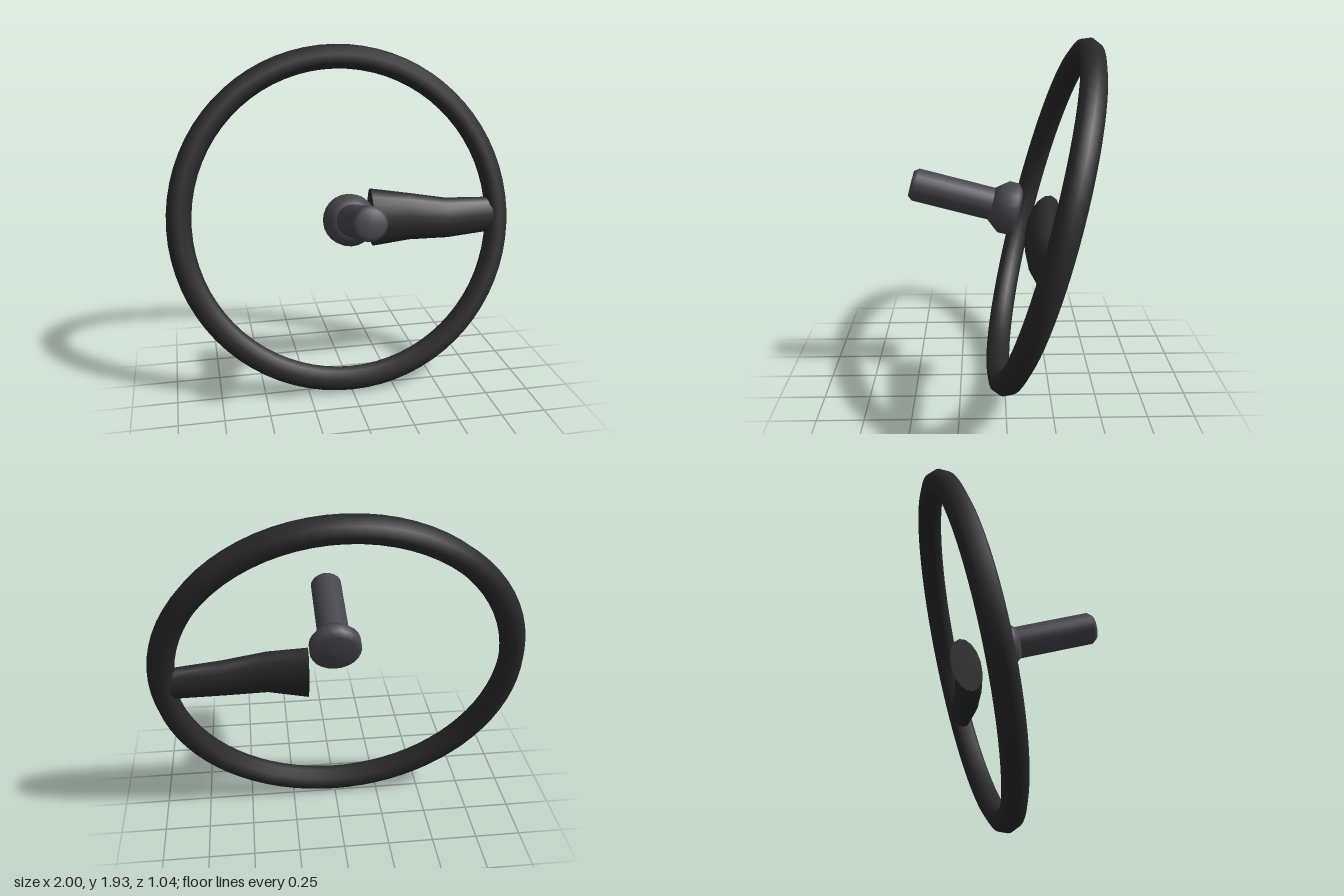
import * as THREE from 'three';

const V2 = (r, y) => new THREE.Vector2(r, y);

// Turned part whose axis runs along z; points are [radius, position along axis]
function turned(points, name, material) {
  const geo = new THREE.LatheGeometry(points.map(([r, n]) => V2(r, n)), 24);
  geo.rotateX(Math.PI / 2);
  const mesh = new THREE.Mesh(geo, material);
  mesh.name = name;
  return mesh;
}

// Loft of elliptical sections along x: [x, centre y, centre z, half height, half depth]
function loft(sections, sides) {
  const pos = [], index = [];
  for (const [x, cy, cz, a, b] of sections) {
    for (let j = 0; j < sides; j++) {
      const t = (j / sides) * Math.PI * 2;
      pos.push(x, cy + a * Math.cos(t), cz + b * Math.sin(t));
    }
  }
  for (let i = 0; i < sections.length - 1; i++) {
    for (let j = 0; j < sides; j++) {
      const k = (j + 1) % sides;
      const a = i * sides + j, b = i * sides + k;
      index.push(a, b, a + sides, b, b + sides, a + sides);
    }
  }
  const geo = new THREE.BufferGeometry();
  geo.setAttribute('position', new THREE.Float32BufferAttribute(pos, 3));
  geo.setIndex(index);
  geo.computeVertexNormals();
  return geo;
}

export function createModel() {
  const grip = new THREE.MeshStandardMaterial({ color: 0x2a2a2a });
  grip.name = 'dark grip';
  const metal = new THREE.MeshStandardMaterial({ color: 0x47464c });
  metal.name = 'grey metal';

  // Everything shares the steering axis, leaned back by 15 degrees
  const wheel = new THREE.Group();
  wheel.name = 'steeringWheel';
  wheel.rotation.x = -Math.PI / 12;
  wheel.position.set(0, 0.968, -0.205);

  // Rim
  const rim = new THREE.Mesh(new THREE.TorusGeometry(0.93, 0.07, 8, 72), grip);
  rim.name = 'rim';
  wheel.add(rim);

  // Single spoke, wide at the hub side and running into the rim
  const sections = [
    [0.165, 0, 0.003, 0.167, 0.086],
    [0.38, -0.006, 0.03, 0.136, 0.075],
    [0.61, -0.028, 0.026, 0.117, 0.068],
    [0.88, -0.023, 0.002, 0.102, 0.057],
    [0.94, -0.023, 0, 0.098, 0.05],
  ];
  const spoke = new THREE.Group();
  spoke.name = 'spoke';
  const body = new THREE.Mesh(loft(sections, 16), grip);
  body.name = 'spokeBody';
  const [x, cy, cz, a, b] = sections[0];
  const capGeo = new THREE.CircleGeometry(1, 16);
  capGeo.scale(b, a, 1).rotateY(-Math.PI / 2).translate(x, cy, cz);
  const cap = new THREE.Mesh(capGeo, grip);
  cap.name = 'spokeEnd';
  spoke.add(body, cap);
  wheel.add(spoke);

  // Hub boss and steering column
  wheel.add(turned([[0, 0.13], [0.115, 0.135], [0.145, 0.16], [0.145, 0.215],
    [0.118, 0.25], [0.09, 0.285], [0, 0.285]], 'hub', metal));
  wheel.add(turned([[0.09, 0.24], [0.09, 0.712], [0.07, 0.738], [0, 0.738]], 'column', metal));

  const model = new THREE.Group();
  model.name = 'model';
  model.add(wheel);
  return model;
}
